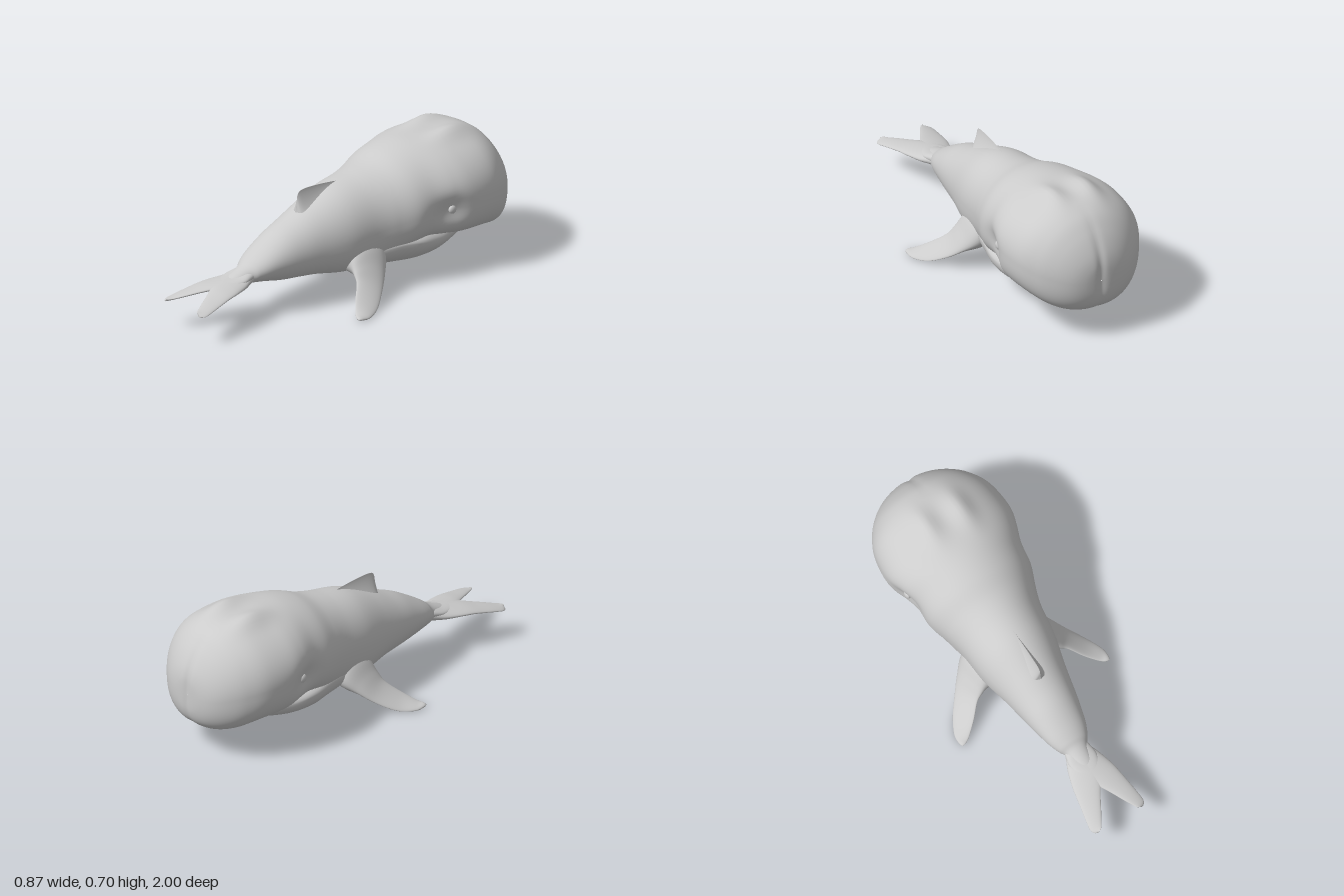
import * as THREE from 'three';

const material = new THREE.MeshStandardMaterial({ color: 0xcccccc, roughness: 0.7, side: THREE.DoubleSide });

// Catmull-Rom blend of whole table rows, so that few cross-sections give a smooth form
function refine(rows, steps) {
  const out = [];
  const last = rows.length - 1;
  for (let i = 0; i < last; i++) {
    const [a, b, c, d] = [rows[Math.max(i - 1, 0)], rows[i], rows[i + 1], rows[Math.min(i + 2, last)]];
    for (let s = 0; s < steps; s++) {
      const t = s / steps;
      out.push(b.map((v, k) => v + 0.5 * t * (c[k] - a[k]
        + t * (2 * a[k] - 5 * v + 4 * c[k] - d[k] + t * (3 * (v - c[k]) + d[k] - a[k])))));
    }
  }
  out.push(rows[last]);
  return out;
}

// Row: centre x y z, half-chord x y z, height above, depth below, upper and lower roundness
function loft(name, rows, { segments = 56, steps = 6, deform = null } = {}) {
  const positions = [], index = [];
  const rings = refine(rows, steps);
  rings.forEach(([cx, cy, cz, ux, uy, uz, up, down, nUp, nDown], i) => {
    for (let j = 0; j < segments; j++) {
      const angle = (j / segments) * Math.PI * 2;
      const c = Math.cos(angle), s = Math.sin(angle);
      const power = 2 / (s >= 0 ? nUp : nDown);
      const across = Math.sign(c) * Math.abs(c) ** power;
      const rise = Math.sign(s) * Math.abs(s) ** power * (s >= 0 ? up : down);
      const p = new THREE.Vector3(cx + ux * across, cy + uy * across + rise, cz + uz * across);
      if (deform) deform(p);
      positions.push(p.x, p.y, p.z);
      if (i < rings.length - 1) {
        const a = i * segments + j, b = i * segments + (j + 1) % segments;
        index.push(a, b, a + segments, b, b + segments, a + segments);
      }
    }
  });
  const geometry = new THREE.BufferGeometry();
  geometry.setAttribute('position', new THREE.Float32BufferAttribute(positions, 3));
  geometry.setIndex(index);
  geometry.computeVertexNormals();
  const mesh = new THREE.Mesh(geometry, material);
  mesh.name = name;
  return mesh;
}

// Upright section from z, half width, widest height, top, bottom, lower and upper roundness
const upright = ([z, w, y, top, bottom, nDown = 2, nUp = 2]) =>
  [0, y, z, w, 0, 0, top - y, y - bottom, nUp, nDown];

// Mirrors fin rows to the other side while keeping the winding
const mirrored = (rows) => rows.map(([x, y, z, ux, uy, uz, ...rest]) => [-x, y, z, ux, -uy, -uz, ...rest]);

const bell = (a, b) => Math.exp(-a * a - b * b);

// Brow bumps, eye sockets and the faint groove down the forehead
function shapeHead(p) {
  const side = Math.sign(p.x), ax = Math.abs(p.x);
  if (p.y > 0.5) p.y += 0.032 * bell((ax - 0.1) / 0.055, (p.z + 0.66) / 0.11);
  p.x -= side * Math.min(ax, 0.04 * bell((p.y - 0.37) / 0.08, (p.z + 0.48) / 0.09));
  if (p.z < -0.8) p.z += 0.009 * bell(p.x / 0.022, (p.y - 0.4) / 0.25);
}

export function createModel() {
  const model = new THREE.Group();
  model.name = 'whale';

  // Head, trunk and tail stem
  model.add(loft('body', [
    [-1, 0.003, 0.34, 0.343, 0.337, 2],
    [-0.995, 0.09, 0.34, 0.43, 0.25, 2.2],
    [-0.97, 0.165, 0.35, 0.505, 0.19, 2.4],
    [-0.92, 0.235, 0.37, 0.585, 0.155, 2.6],
    [-0.85, 0.295, 0.39, 0.652, 0.15, 2.7],
    [-0.75, 0.342, 0.41, 0.688, 0.172, 2.8],
    [-0.6, 0.36, 0.42, 0.692, 0.185, 2.9],
    [-0.5, 0.345, 0.42, 0.69, 0.195, 2.8],
    [-0.4, 0.312, 0.4, 0.68, 0.195, 2.6],
    [-0.3, 0.293, 0.38, 0.655, 0.16, 2.4],
    [-0.2, 0.256, 0.36, 0.615, 0.12, 2.3],
    [-0.1, 0.228, 0.34, 0.59, 0.11, 2.4],
    [0.05, 0.21, 0.32, 0.56, 0.115, 2.5],
    [0.2, 0.175, 0.3, 0.5, 0.14, 2.3],
    [0.3, 0.155, 0.29, 0.455, 0.15, 2.2],
    [0.4, 0.135, 0.28, 0.41, 0.157, 2],
    [0.5, 0.11, 0.265, 0.35, 0.178, 2],
    [0.56, 0.085, 0.25, 0.31, 0.187, 2],
    [0.6, 0.06, 0.235, 0.28, 0.19, 2],
    [0.68, 0.04, 0.222, 0.245, 0.2, 2],
    [0.74, 0.003, 0.22, 0.222, 0.218, 2],
  ].map(upright), { segments: 96, steps: 8, deform: shapeHead }));

  // Narrow lower jaw running back into the throat
  model.add(loft('lowerJaw', [
    [-0.83, 0.003, 0.18, 0.183, 0.177],
    [-0.82, 0.06, 0.185, 0.22, 0.152],
    [-0.76, 0.12, 0.195, 0.25, 0.136],
    [-0.65, 0.18, 0.2, 0.27, 0.12],
    [-0.5, 0.24, 0.2, 0.28, 0.09],
    [-0.37, 0.265, 0.22, 0.3, 0.08],
    [-0.25, 0.245, 0.23, 0.3, 0.088],
    [-0.1, 0.2, 0.22, 0.3, 0.11],
    [0.03, 0.1, 0.22, 0.25, 0.15],
    [0.06, 0.003, 0.22, 0.223, 0.217],
  ].map(upright)));

  // Low dorsal ridge with an abrupt rear edge
  model.add(loft('dorsalFin', [
    [-0.06, 0.004, 0.54, 0.565, 0.53],
    [0.03, 0.025, 0.53, 0.577, 0.5],
    [0.12, 0.045, 0.495, 0.586, 0.45],
    [0.21, 0.06, 0.46, 0.588, 0.42],
    [0.245, 0.055, 0.445, 0.57, 0.41],
    [0.255, 0.04, 0.44, 0.51, 0.41],
    [0.262, 0.004, 0.44, 0.45, 0.43],
  ].map((row) => upright([...row, 2, 0.75]))));

  // Swept flippers and tail flukes, one per side
  const flipper = [
    [0.13, 0.2, -0.04, 0, 0, -0.12, 0.09, 0.075, 2, 2],
    [0.2, 0.19, -0.04, 0.01, 0, -0.108, 0.09, 0.08, 2, 2],
    [0.25, 0.145, -0.01, 0.018, -0.012, -0.085, 0.05, 0.04, 2, 2],
    [0.295, 0.1, 0.03, 0.028, -0.025, -0.06, 0.022, 0.02, 2, 2],
    [0.355, 0.05, 0.1, 0.034, -0.024, -0.044, 0.014, 0.012, 2, 2],
    [0.405, 0.024, 0.165, 0.026, -0.01, -0.028, 0.011, 0.01, 2, 2],
    [0.424, 0.021, 0.2, 0.013, -0.003, -0.012, 0.008, 0.008, 2, 2],
    [0.43, 0.021, 0.212, 0.001, 0, -0.001, 0.001, 0.001, 2, 2],
  ];
  // Fluke columns: z, inner edge, outer edge, height, half thickness
  const fluke = [
    [0.56, -0.06, 0.06, 0.235, 0.03],
    [0.6, -0.068, 0.068, 0.228, 0.034],
    [0.66, -0.075, 0.094, 0.218, 0.027],
    [0.74, -0.05, 0.118, 0.212, 0.02],
    [0.8, -0.012, 0.129, 0.205, 0.016],
    [0.86, 0.026, 0.139, 0.193, 0.013],
    [0.92, 0.06, 0.149, 0.18, 0.011],
    [0.97, 0.09, 0.154, 0.169, 0.008],
    [0.993, 0.106, 0.142, 0.166, 0.006],
    [1, 0.123, 0.125, 0.166, 0.001],
  ].map(([z, inner, outer, y, t]) =>
    [(inner + outer) / 2, y, z, (outer - inner) / 2, -0.008, 0, t, t, 2, 2]);

  for (const [side, sign] of [['left', 1], ['right', -1]]) {
    const place = (rows) => (sign > 0 ? rows : mirrored(rows));
    model.add(loft(`${side}Flipper`, place(flipper), { segments: 40 }));
    model.add(loft(`${side}Fluke`, place(fluke), { segments: 40 }));

    // Eye
    const eye = new THREE.Mesh(new THREE.SphereGeometry(0.023, 24, 16), material);
    eye.name = `${side}Eye`;
    eye.scale.x = 0.6;
    eye.position.set(sign * 0.308, 0.38, -0.5);
    model.add(eye);
  }
  return model;
}
